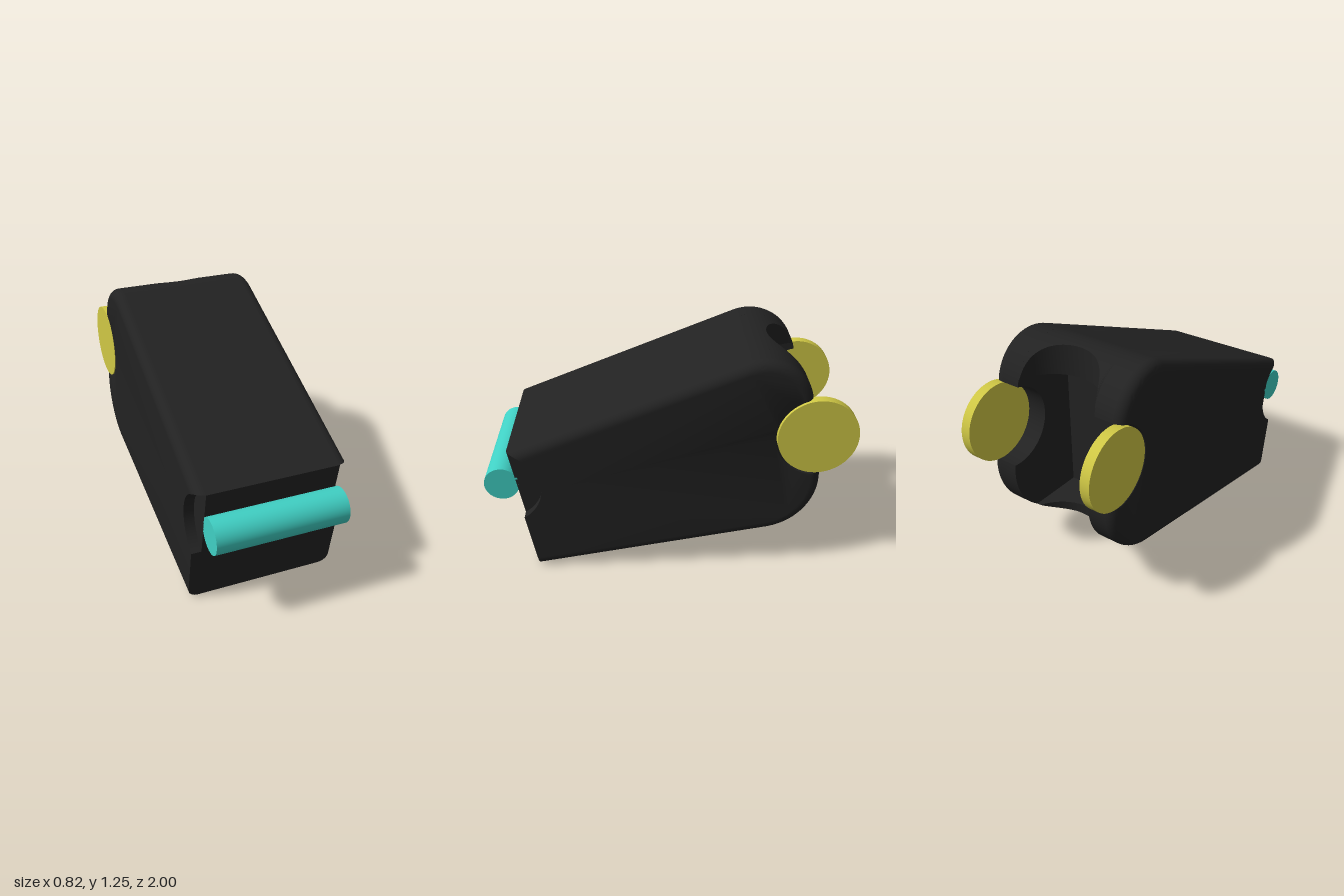
import * as THREE from 'three';
import { toCreasedNormals } from 'three/addons/utils/BufferGeometryUtils.js';

const black = new THREE.MeshStandardMaterial({ color: 0x222222 });
const teal = new THREE.MeshStandardMaterial({ color: 0x40d0c4 });
const yellow = new THREE.MeshStandardMaterial({ color: 0xd0c845 });

// Widths along x, and the side profile in (z, y)
const NOTCH = 0.245, ARM = 0.355, HALF = 0.41, EDGE = HALF - ARM;
const TOP = { z: -0.49, y: 0.995, r: 0.26 };      // upper rear rounding
const BOTTOM = { z: -0.49, y: 0.55, r: 0.33 };    // lower rear rounding
const SLOPE = 0.38, TILT = 0.1745;                // angles of the top and bottom lines
const FRONT_PIN = { z: 0.905, y: 0.525, r: 0.095 };
const REAR_DISC = { z: -0.785, y: 0.823, r: 0.215 };
const CEILING = 1.08, FLOOR = 0.28, POCKET_Z = -0.37;

const P = (z, y) => new THREE.Vector2(z, y);
const topAt = (phi, d = 0) => P(TOP.z - (TOP.r - d) * Math.sin(phi), TOP.y + (TOP.r - d) * Math.cos(phi));
const bottomAt = (phi, d = 0) => P(BOTTOM.z - (BOTTOM.r - d) * Math.sin(phi), BOTTOM.y - (BOTTOM.r - d) * Math.cos(phi));
const sweep = (n, a, b, f) => Array.from({ length: n + 1 }, (_, i) => f(a + (b - a) * i / n));

// Points around a centre from p to q, turning clockwise
function bite(c, p, q, n) {
  const a = Math.atan2(p.y - c.y, p.x - c.z);
  let b = Math.atan2(q.y - c.y, q.x - c.z);
  if (b > a) b -= 2 * Math.PI;
  const r0 = Math.hypot(p.x - c.z, p.y - c.y), r1 = Math.hypot(q.x - c.z, q.y - c.y);
  return sweep(n, 0, 1, t => {
    const r = r0 + (r1 - r0) * t, k = a + (b - a) * t;
    return P(c.z + r * Math.cos(k), c.y + r * Math.sin(k));
  });
}

// Arm outline, inset by d, with the rear bite and optionally the front one
function armSection(d, frontBite) {
  const f = P(Math.sin(TILT), Math.cos(TILT));
  const low = P(0.73 + f.x * d, f.y * d);
  const k = d / Math.cos(SLOPE - TILT);
  const high = P(0.86 - f.x * k, 0.735 - f.y * k);
  let front = [high];
  if (frontBite) {
    const c = { z: 0.9, y: FRONT_PIN.y }, r = 0.215;
    const u = P(-Math.cos(SLOPE), Math.sin(SLOPE));
    const w = P(high.x - c.z, high.y - c.y);
    const h = w.dot(u), t = -h + Math.sqrt(h * h - w.lengthSq() + r * r);
    front = bite(c, P(0.79, 0.34), high.clone().addScaledVector(u, t), 28);
  }
  const end = Math.PI / 2 - TILT;
  const upper = sweep(24, -SLOPE, end, a => topAt(a, d));
  const lower = sweep(24, Math.PI / 2 + TILT, TILT, a => bottomAt(a, d));
  const rear = bite(REAR_DISC, upper[24], lower[0], 32).slice(1, -1);
  return [low, ...front, ...upper, ...rear, ...lower];
}

// Middle outline at x: round vertical notch opening into a square pocket
function middleSection(x) {
  const zn = -0.785 + Math.sqrt(Math.max(0, NOTCH * NOTCH - x * x));
  const limit = (c, y) => Math.min(Math.asin(Math.min(1, (c.z - zn) / c.r)), Math.acos(Math.abs(y - c.y) / c.r));
  const upper = sweep(16, -SLOPE, limit(TOP, CEILING), a => topAt(a));
  const lower = sweep(16, limit(BOTTOM, FLOOR), TILT, a => bottomAt(a));
  return [P(0.73, 0), P(0.86, 0.735), ...upper, P(upper[16].x, CEILING), P(POCKET_Z, CEILING),
    P(POCKET_Z, FLOOR), P(lower[0].x, FLOOR), ...lower];
}

// Skin through matching outlines in order of x, with optional end caps
function loft(sections, caps) {
  const pos = [];
  const tri = (...v) => {
    const [a, b, c] = v;
    if (b.clone().sub(a).cross(c.clone().sub(a)).length() < 1e-9) return;
    v.forEach(p => pos.push(p.x, p.y, p.z));
  };
  const rings = sections.map(s => s.pts.map(p => new THREE.Vector3(s.x, p.y, p.x)));
  for (let i = 0; i + 1 < rings.length; i++) {
    const A = rings[i], B = rings[i + 1];
    A.forEach((a, j) => {
      const n = (j + 1) % A.length;
      tri(a, B[j], A[n]);
      tri(A[n], B[j], B[n]);
    });
  }
  if (caps) {
    const last = rings.length - 1;
    for (const i of [0, last]) {
      for (const [a, b, c] of THREE.ShapeUtils.triangulateShape(sections[i].pts.slice(), [])) {
        const r = rings[i];
        if (i === 0) tri(r[a], r[b], r[c]);
        else tri(r[a], r[c], r[b]);
      }
    }
  }
  const g = new THREE.BufferGeometry();
  g.setAttribute('position', new THREE.Float32BufferAttribute(pos, 3));
  return toCreasedNormals(g, 0.5);
}

function add(parent, name, geometry, material) {
  const m = new THREE.Mesh(geometry, material);
  m.name = name;
  parent.add(m);
  return m;
}

function crossCylinder(parent, name, c, width, x, material) {
  const g = new THREE.CylinderGeometry(c.r, c.r, width, 64).rotateZ(Math.PI / 2);
  add(parent, name, g, material).position.set(x, c.y, c.z);
}

export function createModel() {
  const model = new THREE.Group();
  model.name = 'link';

  // Middle of the body with the rear notch and pocket
  const middle = sweep(40, 0, Math.PI, t => {
    const x = -NOTCH * Math.cos(t);
    return { x, pts: middleSection(x) };
  });
  add(model, 'bodyMiddle', loft(middle, false), black);

  // Arms, rounded outer cheeks and hinge discs on both sides
  for (const s of [1, -1]) {
    const side = s > 0 ? 'left' : 'right';
    const mirrored = list => {
      const out = list.map(o => ({ x: s * o.x, pts: o.pts }));
      return s > 0 ? out : out.reverse();
    };
    const arm = armSection(0, false);
    add(model, side + 'Arm', loft(mirrored([{ x: NOTCH, pts: arm }, { x: ARM, pts: arm }]), true), black);
    const cheek = sweep(8, 0, Math.PI / 2, t => ({
      x: ARM + EDGE * Math.sin(t), pts: armSection(EDGE * (1 - Math.cos(t)), true),
    }));
    add(model, side + 'Cheek', loft(mirrored(cheek), true), black);
    crossCylinder(model, side + 'HingeDisc', REAR_DISC, EDGE, s * (ARM + HALF) / 2, yellow);
  }

  // Hinge pin across the front
  crossCylinder(model, 'frontPin', FRONT_PIN, 2 * ARM, 0, teal);
  return model;
}
